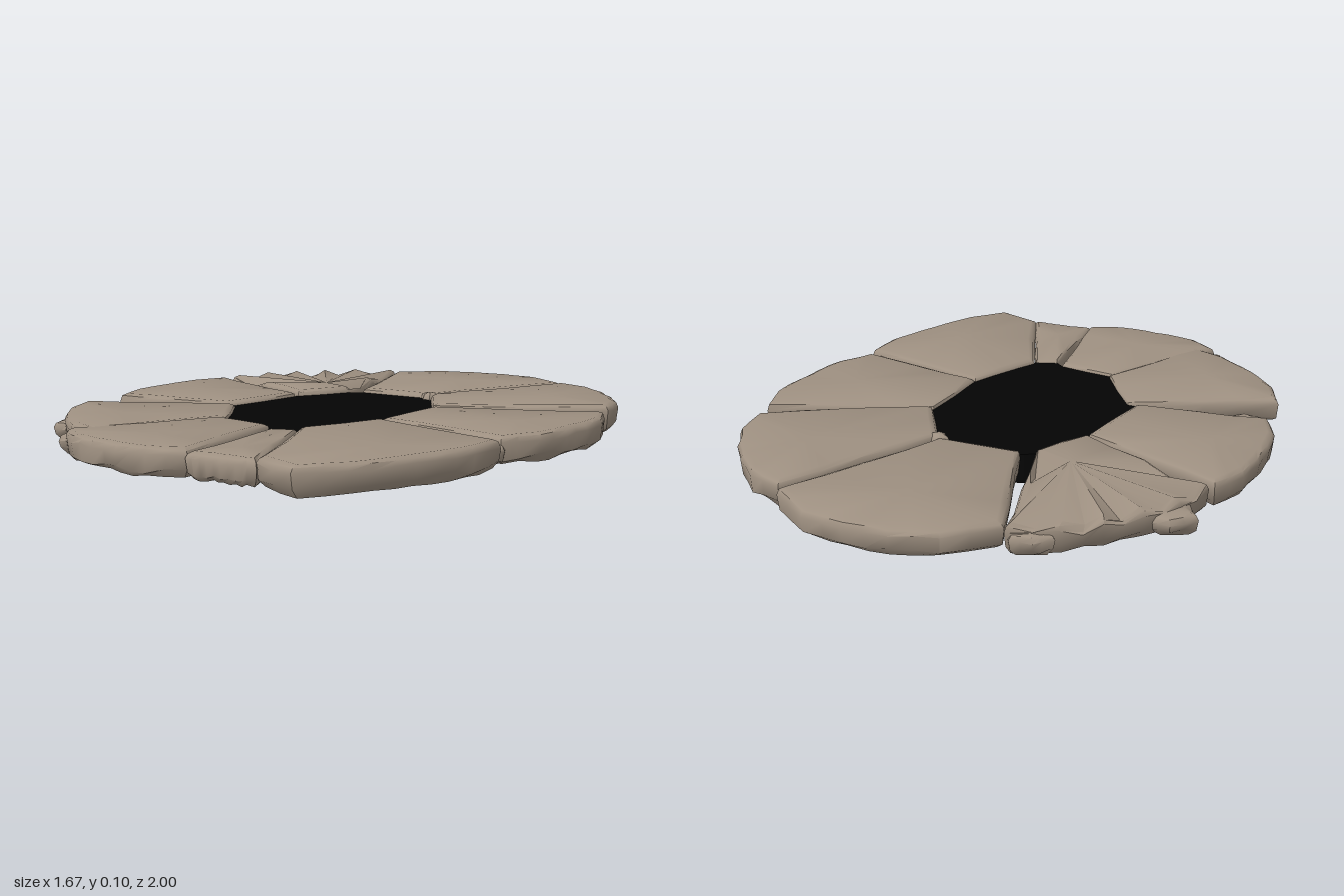
import * as THREE from 'three';
import { toCreasedNormals } from 'three/addons/utils/BufferGeometryUtils.js';

// Seeded noise in -1..1 for the chipped edges
let seed = 7;
const noise = () => {
  seed = (seed * 16807) % 2147483647;
  return (seed / 2147483647) * 2 - 1;
};
const mix = (p, q, t) => [p[0] + (q[0] - p[0]) * t, p[1] + (q[1] - p[1]) * t];

// Joins stacked rings of [x, y, z] points, closing both ends with fans
function loft(rings, bottomHub, topHub, crease) {
  const pos = [];
  const tri = (...pts) => pts.forEach((p) => pos.push(...p));
  const n = rings[0].length;
  const top = rings[rings.length - 1];
  for (let i = 0; i < n; i++) {
    const j = (i + 1) % n;
    for (let k = 0; k < rings.length - 1; k++) {
      const lo = rings[k], up = rings[k + 1];
      tri(lo[i], lo[j], up[j]);
      tri(lo[i], up[j], up[i]);
    }
    tri(bottomHub, rings[0][j], rings[0][i]);
    tri(topHub, top[i], top[j]);
  }
  const g = new THREE.BufferGeometry();
  g.setAttribute('position', new THREE.Float32BufferAttribute(pos, 3));
  return toCreasedNormals(g, crease);
}

// Petal outline: inner edge a-b, sides a-c and d-b (bent at e), outer edge c-d bowed outward
function petal([a, c, d, b, e = mix(d, b, 0.5)], bulge) {
  const len = Math.hypot(d[0] - c[0], d[1] - c[1]);
  const out = [(d[1] - c[1]) / len, (c[0] - d[0]) / len];
  const edge = [];
  for (let i = 0; i <= 5; i++) {
    const t = i / 5;
    const bow = bulge * Math.pow(4 * t * (1 - t), 0.6);
    const p = mix(c, d, t);
    edge.push([p[0] + out[0] * bow, p[1] + out[1] * bow]);
  }
  // Reversed so that faces point outward
  return [a, mix(a, c, 0.5), ...edge, e, b].reverse();
}

// Slab with worn rims; ridge lowers alternate outer points into grooves
function slab(outline, height, ridge, hub) {
  const pts = outline.flatMap((p, i) => {
    const m = mix(p, outline[(i + 1) % outline.length], 0.5);
    return [p, [m[0] + noise() * 0.006, m[1] + noise() * 0.006]];
  });
  const c = [0, 1].map((k) => pts.reduce((s, p) => s + p[k], 0) / pts.length);
  const ring = (inset, y, wobble, groove) => pts.map((p, i) => {
    const f = Math.min(0.6, inset / Math.hypot(c[0] - p[0], c[1] - p[1]));
    const [x, z] = mix(p, c, f);
    const drop = i % 2 && Math.hypot(...p) > 0.45 ? groove * (1 + noise() * 0.5) : 0;
    return [x, y + noise() * wobble - drop, z];
  });
  const rings = [
    ring(0.025, 0.011, 0.006, 0),
    ring(0.006, 0.028, 0.008, 0),
    ring(0, height - 0.022, 0.005, ridge * 0.4),
    ring(0.008, height - 0.007, 0.002, ridge * 0.8),
    ring(0.026, height, 0, ridge),
  ];
  const h = hub || c;
  return loft(rings, [c[0], 0.011, c[1]], [h[0], height, h[1]], 0.8);
}

export function createModel() {
  seed = 7;
  const stoneMat = new THREE.MeshStandardMaterial({ color: 0x9e9081 });
  stoneMat.name = 'stone';
  const darkMat = new THREE.MeshStandardMaterial({ color: 0x040404 });
  darkMat.name = 'black';
  const group = new THREE.Group();
  group.name = 'stoneRing';
  const add = (name, geometry, material) => {
    const mesh = new THREE.Mesh(geometry, material);
    mesh.name = name;
    group.add(mesh);
  };

  // Ring of slabs, each from its [x, z] corners; inner corners also bound the floor
  const rim = [];
  const stone = (name, corners, bulge, height = 0.095, ridge = 0, hub = null) => {
    rim.push(corners[0], corners[3]);
    add(name, slab(petal(corners, bulge), height, ridge, hub), stoneMat);
  };
  stone('backStone', [[-0.17, -0.32], [-0.38, -0.8], [0.31, -0.9], [0.1, -0.34]], 0.15, 0.096);
  stone('backLeftStone', [[0.11, -0.34], [0.32, -0.88], [0.73, -0.45], [0.26, -0.13], [0.5, -0.27]], 0.09, 0.1);
  stone('leftStone', [[0.26, -0.12], [0.76, -0.37], [0.76, 0.25], [0.28, 0.18]], 0.075);
  stone('frontLeftStone', [[0.28, 0.18], [0.78, 0.28], [0.58, 0.95], [0.19, 0.45], [0.42, 0.9]], 0.07);
  stone('wedgeStone', [[0.19, 0.46], [0.43, 0.91], [0.2, 0.94], [0.12, 0.49]], 0, 0.088);
  stone('frontStone', [[0.09, 0.47], [0.2, 0.93], [-0.33, 0.9], [-0.12, 0.45]], 0.08);
  stone('frontRightStone', [[-0.11, 0.44], [-0.26, 0.87], [-0.72, 0.48], [-0.28, 0.22]], 0.07);
  stone('rightStone', [[-0.31, 0.22], [-0.74, 0.31], [-0.78, -0.27], [-0.29, -0.1]], 0.07);
  stone('ridgedStone', [[-0.29, -0.11], [-0.77, -0.29], [-0.39, -0.82], [-0.21, -0.29]], 0.085, 0.1, 0.03, [-0.35, -0.34]);

  // Broken chips along the edges
  const chip = (name, x, z, radius, height) => {
    const outline = [];
    for (let i = 0; i < 6; i++) {
      const a = -i * Math.PI / 3, r = radius * (1 + noise() * 0.2);
      outline.push([x + Math.cos(a) * r, z + Math.sin(a) * r]);
    }
    add(name, slab(outline, height, 0, null), stoneMat);
  };
  chip('backRightChip', -0.44, -0.76, 0.065, 0.075);
  chip('rightBackChip', -0.71, -0.46, 0.085, 0.075);
  chip('rightFrontChip', -0.66, 0.34, 0.065, 0.06);
  chip('frontRightChip', -0.32, 0.84, 0.065, 0.075);
  chip('frontRightSideChip', -0.54, 0.68, 0.07, 0.07);
  chip('leftChip', 0.73, 0.25, 0.045, 0.075);
  chip('pebble', 0.11, -0.34, 0.035, 0.102);

  // Dark floor, widening beneath the stones
  rim.reverse();
  const level = (scale, y) => rim.map(([x, z]) => [x * scale, y, 0.06 + (z - 0.06) * scale]);
  add('floor', loft([level(1.1, 0), level(1.02, 0.08)], [0, 0, 0.06], [0, 0.08, 0.06], 0.5), darkMat);
  return group;
}
